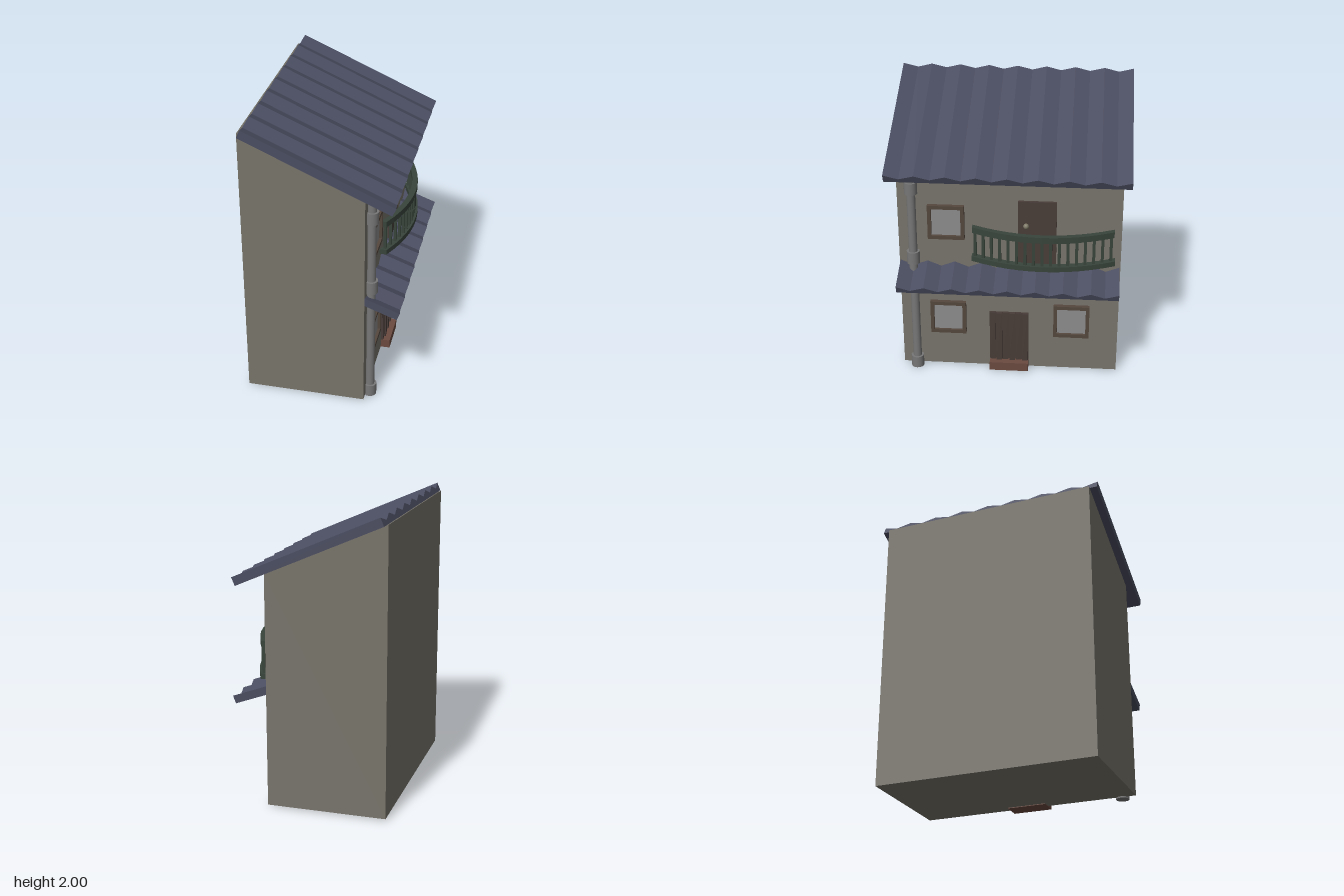
import * as THREE from 'three';

const COLORS = {
  wall: 0x77746a, roof: 0x4a4d60, door: 0x483c38, frame: 0x54473e, glass: 0x8c8c8c,
  step: 0x6b4a40, rail: 0x38443b, pipe: 0x777777, knob: 0x7d7866,
};
const WALL_X = 0.285; // plane of the facade, which looks along +x

export function createModel() {
  const house = new THREE.Group();
  house.name = 'house';
  const mats = {};
  for (const [key, color] of Object.entries(COLORS)) {
    mats[key] = new THREE.MeshStandardMaterial({ color, flatShading: key !== 'pipe' && key !== 'knob' });
  }

  function add(name, geometry, mat, parent = house) {
    const mesh = new THREE.Mesh(geometry, mats[mat]);
    mesh.name = name;
    parent.add(mesh);
    return mesh;
  }
  // Box given by its extents
  function box(name, mat, [x0, x1], [y0, y1], [z0, z1], parent) {
    const mesh = add(name, new THREE.BoxGeometry(x1 - x0, y1 - y0, z1 - z0), mat, parent);
    mesh.position.set((x0 + x1) / 2, (y0 + y1) / 2, (z0 + z1) / 2);
    return mesh;
  }
  function group(name) {
    const g = new THREE.Group();
    g.name = name;
    house.add(g);
    return g;
  }
  const extrude = (shape, depth) => new THREE.ExtrudeGeometry(shape, { depth, bevelEnabled: false });

  // Body with a slanted top
  const side = new THREE.Shape([
    new THREE.Vector2(-0.53, 0.01), new THREE.Vector2(WALL_X, 0.01),
    new THREE.Vector2(WALL_X, 1.6), new THREE.Vector2(-0.53, 1.95),
  ]);
  add('walls', extrude(side, 1.52), 'wall').position.z = -0.76;

  // Corrugated slab: zigzag top, flat underside, running down a slope
  function corrugated(name, x, y, angle, length, halfWidth, ridges, high, low) {
    const pts = [new THREE.Vector2(-halfWidth, 0), new THREE.Vector2(halfWidth, 0)];
    const n = ridges * 2;
    for (let i = 0; i <= n; i++) {
      pts.push(new THREE.Vector2(halfWidth - (2 * halfWidth * i) / n, i % 2 ? low : high));
    }
    const mesh = add(name, extrude(new THREE.Shape(pts), length), 'roof');
    const c = Math.cos(angle), s = Math.sin(angle);
    mesh.quaternion.setFromRotationMatrix(new THREE.Matrix4().makeBasis(
      new THREE.Vector3(0, 0, -1), new THREE.Vector3(s, c, 0), new THREE.Vector3(c, -s, 0)));
    mesh.position.set(x, y, 0);
  }
  corrugated('roof', -0.515, 1.945, 0.4135, 1.07, 0.81, 8, 0.06, 0.028);
  corrugated('canopy', 0.219, 0.809, 0.355, 0.3, 0.755, 8, 0.055, 0.02);

  // Windows: frame with a hole and a pane set back
  function windowAt(name, y, z) {
    const g = group(name);
    const h = 0.125, i = 0.1;
    const rect = (P, r) => new P([[-r, -r], [r, -r], [r, r], [-r, r]].map(([a, b]) => new THREE.Vector2(a, b)));
    const shape = rect(THREE.Shape, h);
    shape.holes.push(rect(THREE.Path, i));
    add('windowFrame', extrude(shape, 0.04), 'frame', g).rotation.y = Math.PI / 2;
    box('windowPane', 'glass', [0, 0.02], [-i, i], [-i, i], g);
    g.position.set(WALL_X - 0.01, y, z);
  }
  windowAt('upperWindow', 1.152, 0.43);
  windowAt('lowerLeftWindow', 0.405, 0.43);
  windowAt('lowerRightWindow', 0.405, -0.435);

  // Upper door with knob
  box('upperDoor', 'door', [0.26, 0.305], [0.82, 1.325], [-0.32, -0.06]);
  const knob = add('doorKnob', new THREE.SphereGeometry(0.02, 12, 8), 'knob');
  knob.position.set(0.318, 1.15, -0.115);

  // Lower door made of vertical planks, and its step
  const lowerDoor = group('lowerDoor');
  const planks = 6, z0 = -0.135, pitch = 0.275 / planks;
  box('doorBack', 'door', [0.26, 0.292], [0.07, 0.455], [z0, z0 + 0.275], lowerDoor);
  for (let k = 0; k < planks; k++) {
    const z = z0 + k * pitch;
    box('doorPlank', 'door', [0.27, k % 2 ? 0.302 : 0.312], [0.07, 0.455], [z + 0.003, z + pitch - 0.003], lowerDoor);
  }
  box('doorStep', 'step', [0.22, 0.35], [0.005, 0.068], [-0.135, 0.138]);

  // Drainpipe with collars
  const pipe = group('drainpipe');
  const tube = (name, r, y0, y1) => {
    const m = add(name, new THREE.CylinderGeometry(r, r, y1 - y0, 16), 'pipe', pipe);
    m.position.set(0.31, (y0 + y1) / 2, 0.66);
  };
  tube('pipe', 0.03, 0, 1.585);
  for (const [y0, y1] of [[0, 0.085], [0.84, 0.93], [1.365, 1.45]]) tube('pipeCollar', 0.045, y0, y1);

  // Bowed balcony railing
  const balcony = group('balcony');
  const bowX = (t) => 0.31 + 0.12 * (1 - (2 * t - 1) ** 2);
  function bowedRail(name, y0, y1, zStart, zEnd, width) {
    const outer = [], inner = [];
    for (let i = 0; i <= 12; i++) {
      const t = i / 12, z = zStart + (zEnd - zStart) * t;
      outer.push(new THREE.Vector2(bowX(t) + width / 2, -z));
      inner.unshift(new THREE.Vector2(bowX(t) - width / 2, -z));
    }
    const mesh = add(name, extrude(new THREE.Shape([...outer, ...inner]), y1 - y0), 'rail', balcony);
    mesh.rotation.x = -Math.PI / 2;
    mesh.position.y = y0;
  }
  bowedRail('topRail', 1.092, 1.135, 0.25, -0.71, 0.04);
  bowedRail('bottomRail', 0.88, 0.916, 0.255, -0.72, 0.05);
  const count = 17;
  for (let i = 0; i < count; i++) {
    const t = 0.02 + (0.96 * i) / (count - 1);
    const x = bowX(t), z = 0.25 - 0.96 * t;
    box('baluster', 'rail', [x - 0.01, x + 0.01], [0.91, 1.1], [z - 0.01, z + 0.01], balcony);
  }

  return house;
}
